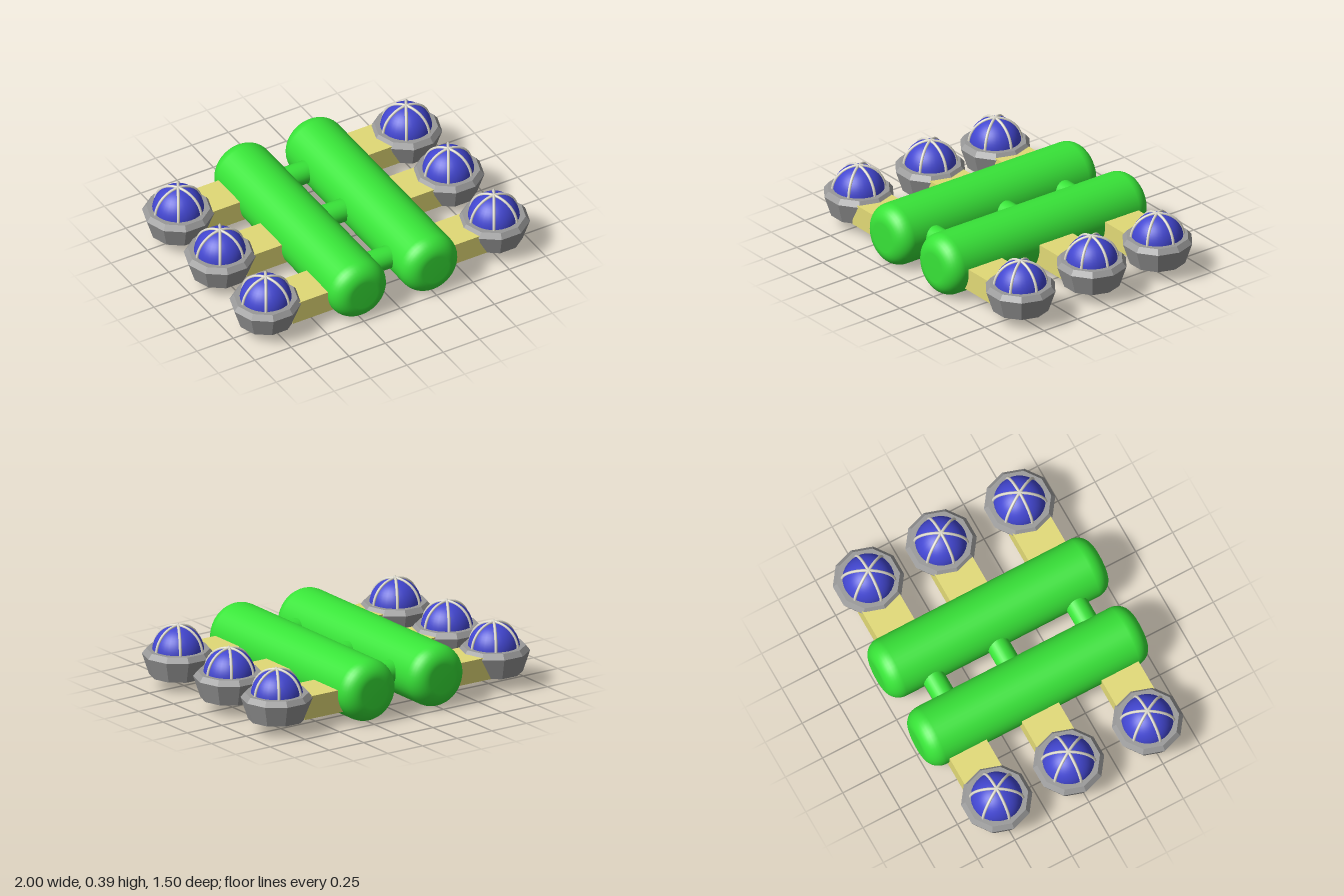
import * as THREE from 'three';

const mat = (name, color) => {
  const m = new THREE.MeshStandardMaterial({ color });
  m.name = name;
  return m;
};
const v2 = (x, y) => new THREE.Vector2(x, y);

export function createModel() {
  const green = mat('bright green', 0x38e438);
  const khaki = mat('pale khaki', 0xe2da76);
  const grey = mat('mid grey', 0x999999);
  const blue = mat('deep blue', 0x4246d0);
  const pale = mat('pale grey', 0xdcd9cc);
  const model = new THREE.Group();
  model.name = 'twinTankPlatform';

  const add = (parent, name, geo, material, x = 0, y = 0, z = 0) => {
    const m = new THREE.Mesh(geo, material);
    m.name = name;
    m.position.set(x, y, z);
    parent.add(m);
    return m;
  };

  // Long tanks: cylinders with filleted ends, lying along z
  const R = 0.19, L = 0.75, F = 0.1;
  const profile = [v2(0, -L)];
  for (let i = 0; i <= 8; i++) {
    const a = (i / 8) * Math.PI / 2;
    profile.push(v2(R - F + F * Math.sin(a), -L + F - F * Math.cos(a)));
  }
  for (let i = profile.length - 1; i >= 0; i--) profile.push(v2(profile[i].x, -profile[i].y));
  const tankGeo = new THREE.LatheGeometry(profile, 40).rotateX(Math.PI / 2);
  for (const s of [-1, 1]) add(model, s > 0 ? 'leftTank' : 'rightTank', tankGeo, green, s * 0.245, R, 0);

  // Cross pipes between the tanks
  const pipeGeo = new THREE.CylinderGeometry(0.07, 0.07, 0.3, 28).rotateZ(Math.PI / 2);
  for (const z of [-0.465, -0.03, 0.5]) add(model, 'crossPipe', pipeGeo, green, 0, 0.195, z);

  // Ten-sided pod housing, hollow underneath, with flat faces
  const podGeo = new THREE.LatheGeometry([
    v2(0, 0.2), v2(0.14, 0.2), v2(0.144, 0.075), v2(0.172, 0.075),
    v2(0.215, 0.205), v2(0.19, 0.237), v2(0.148, 0.237),
  ], 10, Math.PI / 2).toNonIndexed();
  podGeo.computeVertexNormals();

  const domeGeo = new THREE.SphereGeometry(0.155, 32, 14, 0, Math.PI * 2, 0, Math.PI / 2);
  const hoopGeo = new THREE.TorusGeometry(0.157, 0.009, 8, 32, Math.PI);
  const armGeo = new THREE.BoxGeometry(0.375, 0.14, 0.25);

  // Outrigger arms and domed pods: [side, pod z, arm z]
  const pods = [
    [-1, -0.505, -0.505], [-1, -0.02, -0.018], [-1, 0.513, 0.52],
    [1, -0.51, -0.515], [1, -0.02, -0.025], [1, 0.51, 0.503],
  ];
  for (const [s, z, armZ] of pods) {
    add(model, 'outriggerArm', armGeo, khaki, s * 0.4875, 0.146, armZ);
    const pod = new THREE.Group();
    pod.name = 'pod';
    pod.position.set(s * 0.785, 0, z);
    model.add(pod);
    add(pod, 'podHousing', podGeo, grey);
    add(pod, 'dome', domeGeo, blue, 0, 0.221, 0);
    for (let i = 0; i < 3; i++) {
      add(pod, 'domeHoop', hoopGeo, pale, 0, 0.221, 0).rotation.y = i * Math.PI / 3;
    }
  }
  return model;
}
